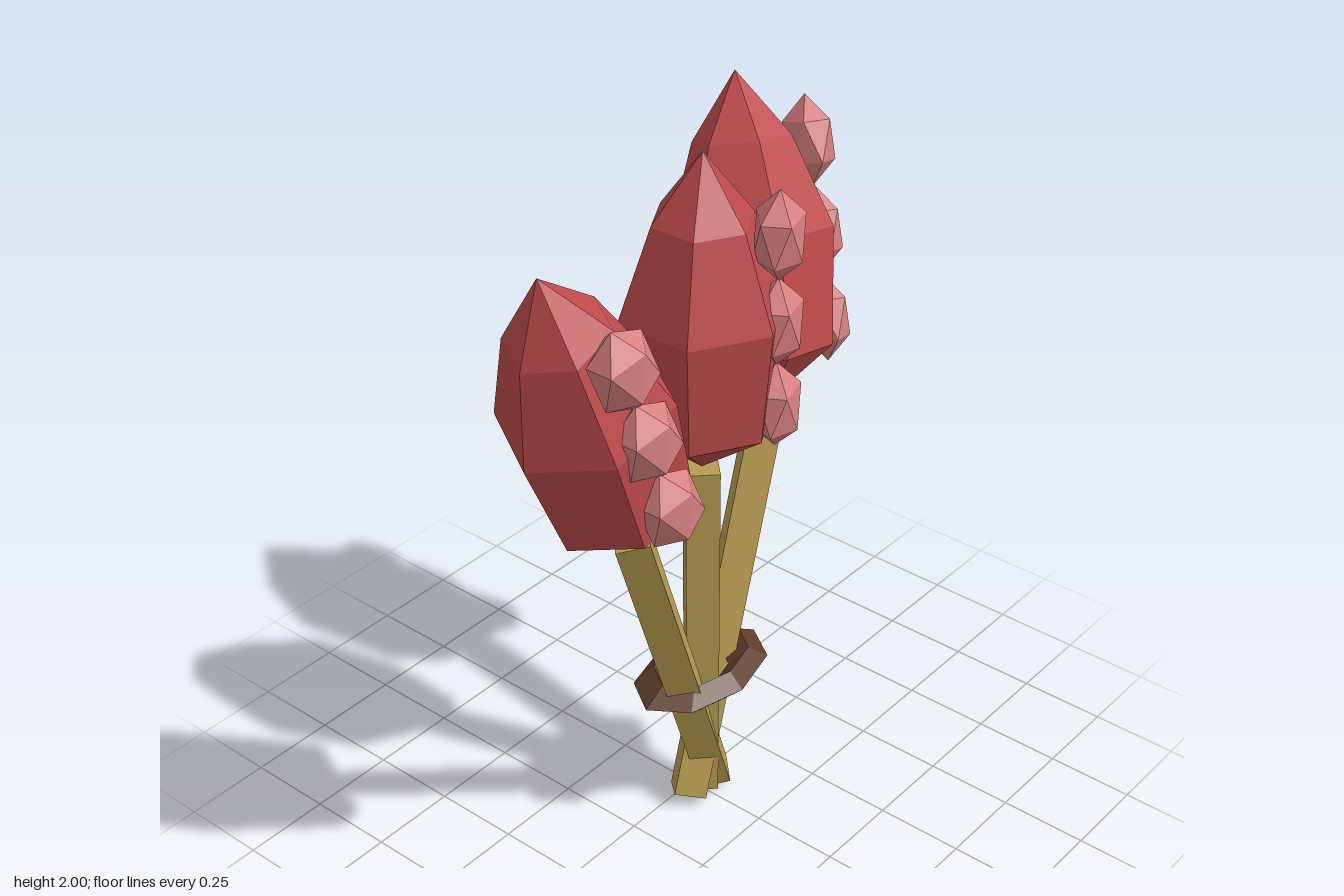
import * as THREE from 'three';

const flat = (name, color) => {
  const m = new THREE.MeshStandardMaterial({ color, flatShading: true });
  m.name = name;
  return m;
};

export function createModel() {
  const red = flat('budRed', 0xbe4a4a);
  const pink = flat('berryPink', 0xd88080);
  const tan = flat('stemTan', 0xb89c50);
  const brown = flat('bandBrown', 0x5e3c2a);

  const root = new THREE.Group();
  root.name = 'budBouquet';
  const up = new THREE.Vector3(0, 1, 0);
  const midZ = 0.037;

  const add = (parent, name, geometry, material) => {
    const mesh = new THREE.Mesh(geometry, material);
    mesh.name = name;
    parent.add(mesh);
    return mesh;
  };

  // Six-sided bud profile, with a flat side turned to +z
  const budProfile = [[0, 0], [0.195, 0.15], [0.225, 0.47], [0.135, 0.72], [0, 0.9]]
    .map(([r, y]) => new THREE.Vector2(r, y));
  const budGeo = new THREE.LatheGeometry(budProfile, 6).rotateY(Math.PI / 6);

  // Faceted berry with a point at each end
  const berryGeo = new THREE.IcosahedronGeometry(1, 0)
    .rotateZ(-Math.atan(2 / (1 + Math.sqrt(5))))
    .scale(0.096, 0.124, 0.072);

  // Square stem between two points
  function addStem(name, from, to) {
    const a = new THREE.Vector3(...from), b = new THREE.Vector3(...to);
    const dir = b.clone().sub(a);
    const stem = add(root, name, new THREE.CylinderGeometry(0.064, 0.064, dir.length(), 4), tan);
    stem.position.copy(a).add(b).multiplyScalar(0.5);
    stem.quaternion.setFromUnitVectors(up, dir.normalize());
  }

  // Bud with three berries down the side facing the given azimuth
  function addBud(name, base, axis, azimuth) {
    const group = new THREE.Group();
    group.name = name;
    group.position.set(...base);
    group.quaternion
      .setFromUnitVectors(up, new THREE.Vector3(...axis).normalize())
      .multiply(new THREE.Quaternion().setFromAxisAngle(up, THREE.MathUtils.degToRad(azimuth)));
    add(group, 'bud', budGeo, red);
    for (const y of [0.21, 0.45, 0.69]) {
      add(group, 'berry', berryGeo, pink).position.set(0, y, 0.19);
    }
    root.add(group);
  }

  addStem('centerStem', [0, 0.03, midZ], [0, 1.1, midZ]);
  addStem('rightStem', [0.055, 0.025, midZ], [-0.355, 1.095, 0.1]);
  addStem('leftStem', [-0.055, 0.025, midZ], [0.355, 1.095, -0.027]);

  addBud('centerBud', [0, 1.1, midZ], [0, 1, 0], 30);
  addBud('rightBud', [-0.355, 1.1, 0.1], [-0.3, 0.845, 0], 0);
  addBud('leftBud', [0.36, 1.1, -0.03], [0.16, 0.845, -0.25], 60);

  // Oval band tying the stems together
  const bandGeo = new THREE.TorusGeometry(0.103, 0.043, 4, 8).rotateX(Math.PI / 2).scale(1.61, 1, 1);
  add(root, 'band', bandGeo, brown).position.set(0, 0.43, midZ);

  return root;
}
